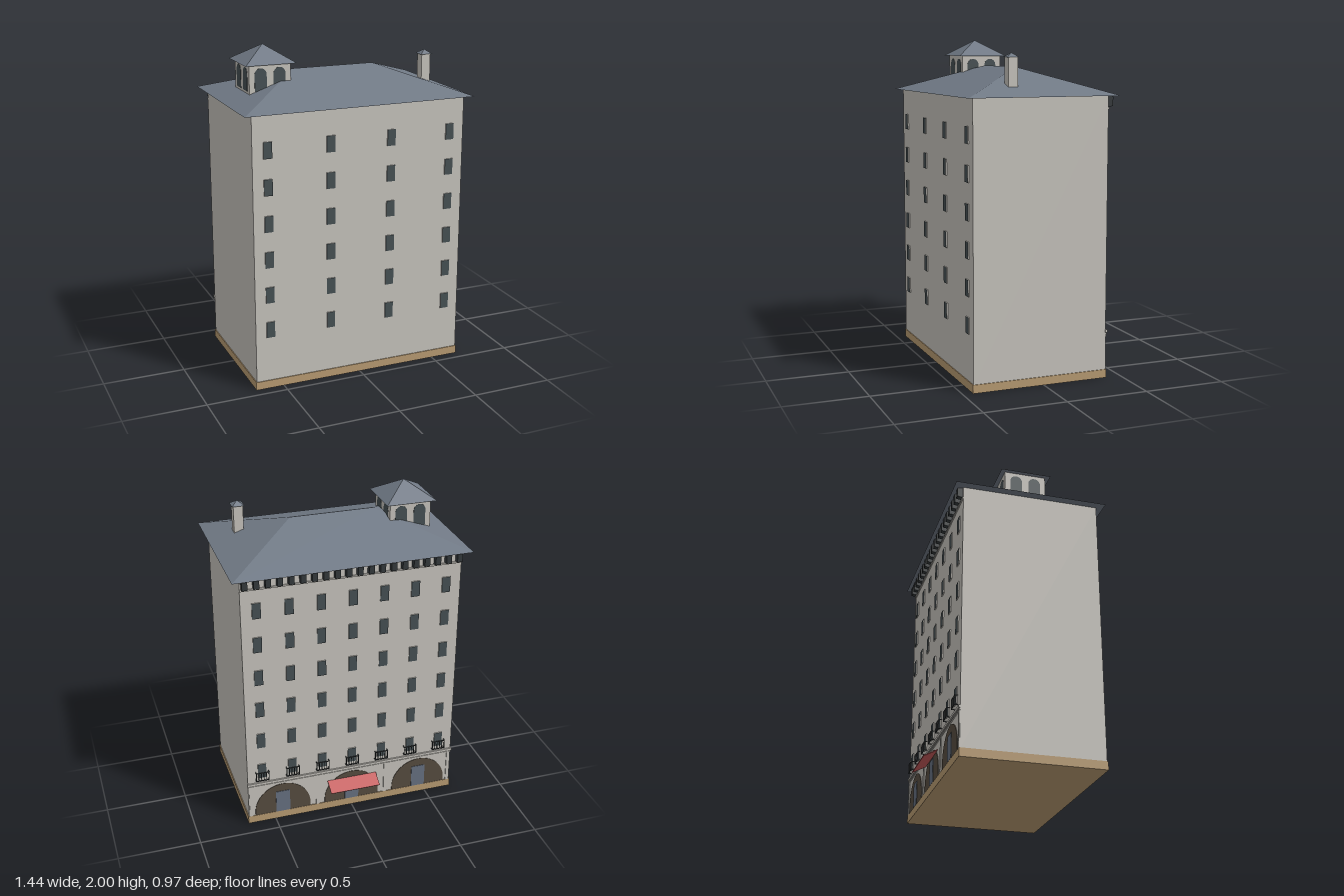
import * as THREE from 'three';

const mat = (name, color) => {
  const m = new THREE.MeshStandardMaterial({ color });
  m.name = name;
  return m;
};

export function createModel() {
  const model = new THREE.Group();
  model.name = 'apartmentBuilding';
  const wall = mat('stone wall', 0xc6c3bc);
  const roof = mat('slate roof', 0x717a86);
  const plinth = mat('tan plinth', 0xb89b72);
  const glass = mat('dark glass', 0x465053);
  const iron = mat('dark iron', 0x34393b);
  const arch = mat('brown arch', 0x564c40);
  const door = mat('blue grey door', 0x667080);
  const red = mat('red awning', 0xc45858);

  const add = (parent, name, geo, material, x = 0, y = 0, z = 0) => {
    const m = new THREE.Mesh(geo, material);
    m.name = name;
    m.position.set(x, y, z);
    parent.add(m);
    return m;
  };
  const box = (parent, name, material, w, h, d, x, y, z) =>
    add(parent, name, new THREE.BoxGeometry(w, h, d), material, x, y, z);
  const group = (parent, name, x = 0, y = 0, z = 0, turn = 0) => {
    const g = new THREE.Group();
    g.name = name;
    g.position.set(x, y, z);
    g.rotation.y = turn;
    parent.add(g);
    return g;
  };

  // Hipped roof: half sizes w and d, half ridge r, height h, closed underneath
  const hip = (w, d, r, h) => {
    const A = [-w, 0, d], B = [w, 0, d], C = [w, 0, -d], D = [-w, 0, -d];
    const L = [-r, h, 0], R = [r, h, 0];
    const tris = [A, B, R, B, C, R, C, D, L, D, A, L, A, D, C, A, C, B];
    if (r > 0) tris.push(A, R, L, C, L, R);
    const g = new THREE.BufferGeometry();
    g.setAttribute('position', new THREE.Float32BufferAttribute(tris.flat(), 3));
    g.computeVertexNormals();
    return g;
  };

  // Round-headed plate standing on y = 0
  const archPlate = (r, spring, depth) => {
    const s = new THREE.Shape();
    s.moveTo(-r, 0);
    s.lineTo(r, 0);
    s.lineTo(r, spring);
    s.absarc(0, spring, r, 0, Math.PI, false);
    s.lineTo(-r, 0);
    return new THREE.ExtrudeGeometry(s, { depth, bevelEnabled: false, curveSegments: 14 });
  };

  // Main block
  box(model, 'walls', wall, 1.34, 1.64, 0.835, 0, 0.86, 0.0175);
  box(model, 'plinth', plinth, 1.35, 0.05, 0.845, 0, 0.025, 0.0175);
  add(model, 'mainRoof', hip(0.722, 0.467, 0.258, 0.16), roof, 0, 1.68, 0.012);

  // Windows: slightly raised, with stone reveals and a glass face
  const windowGeo = new THREE.BoxGeometry(0.052, 0.098, 0.008);
  const windowMats = [wall, wall, wall, wall, glass, wall];
  const windows = (parent, cols) => {
    for (let row = 0; row < 6; row++)
      for (let c = 0; c < cols; c++)
        add(parent, 'window', windowGeo, windowMats,
          -0.578 + (1.156 * c) / (cols - 1), 0.378 + row * 0.2185, 0.003);
  };
  windows(group(model, 'frontWindows', 0, 0, 0.435), 4);

  // Street side, built facing +z and turned round
  const street = group(model, 'streetFacade', 0, 0, -0.4, Math.PI);
  windows(street, 7);
  box(street, 'ledge', wall, 1.35, 0.016, 0.012, 0, 0.285, 0.004);
  box(street, 'lowerLedge', wall, 1.345, 0.008, 0.008, 0, 0.268, 0.003);
  for (const x of [-0.655, -0.225, 0.225, 0.655])
    box(street, 'pilaster', wall, 0.02, 0.22, 0.006, x, 0.16, 0.002);
  for (const x of [-0.45, 0, 0.45]) {
    add(street, 'shopArch', archPlate(0.178, 0.025, 0.004), arch, x, 0.05, -0.001);
    box(street, 'shopDoor', door, 0.09, 0.15, 0.004, x, 0.125, 0.004);
  }

  // Awning over the middle door
  box(street, 'awning', red, 0.32, 0.005, 0.092, 0, 0.19, 0.046).rotation.x = 0.49;

  // Small railed balconies under the lowest windows
  for (let c = 0; c < 7; c++) {
    const b = group(street, 'balcony', -0.578 + c * 0.1927, 0.315, 0);
    for (const y of [0, 0.055]) {
      box(b, 'frontRail', iron, 0.084, 0.005, 0.004, 0, y, 0.018);
      for (const x of [-0.04, 0.04]) box(b, 'sideRail', iron, 0.004, 0.005, 0.02, x, y, 0.009);
    }
    for (let i = 0; i < 6; i++)
      box(b, 'baluster', iron, 0.004, 0.06, 0.004, -0.04 + i * 0.016, 0.0275, 0.018);
  }

  // Row of scrolled brackets below the eave
  const profile = new THREE.Shape();
  profile.moveTo(0, 0);
  profile.lineTo(0.034, 0.005);
  profile.lineTo(0.034, 0.06);
  profile.lineTo(0, 0.065);
  const bracketGeo = new THREE.ExtrudeGeometry(profile, { depth: 0.032, bevelEnabled: false });
  bracketGeo.rotateY(-Math.PI / 2);
  bracketGeo.translate(0.016, 0, 0);
  for (let i = 0; i < 20; i++)
    add(street, 'eaveBracket', bracketGeo, iron, -0.646 + i * 0.068, 1.614, 0);
  box(street, 'eaveBand', wall, 1.34, 0.01, 0.008, 0, 1.607, 0.003);

  // Roof turret with paired arched openings on each side
  const turret = group(model, 'turret', -0.45, 1.68, 0.012);
  box(turret, 'turretWalls', wall, 0.256, 0.22, 0.256, 0, 0.11, 0);
  add(turret, 'turretRoof', hip(0.157, 0.157, 0, 0.1), roof, 0, 0.22, 0);
  for (let k = 0; k < 4; k++) {
    const side = group(turret, 'turretSide', 0, 0, 0, (k * Math.PI) / 2);
    for (const x of [-0.058, 0.058])
      add(side, 'turretArch', archPlate(0.037, 0.1, 0.004), glass, x, 0.063, 0.126);
  }

  // Chimney
  box(model, 'chimney', wall, 0.058, 0.22, 0.058, 0.541, 1.79, 0.155);
  add(model, 'chimneyCap', hip(0.038, 0.038, 0, 0.026), roof, 0.541, 1.9, 0.155);

  return model;
}
